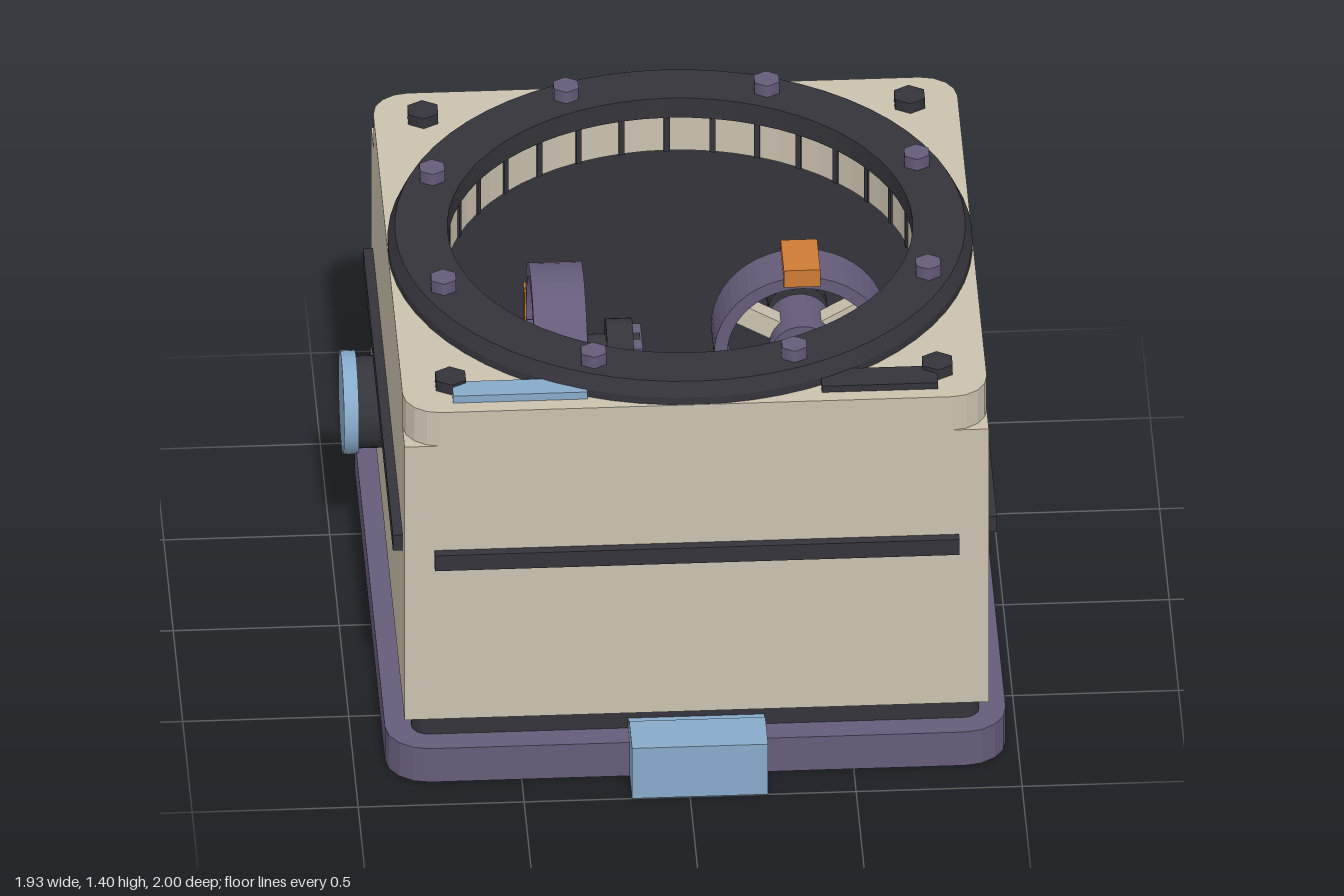
import * as THREE from 'three';

const mat = (name, color) => Object.assign(new THREE.MeshStandardMaterial({ color }), { name });

export function createModel() {
  const beige = mat('beige', 0xcbc1ae);
  const dark = mat('charcoal', 0x35343b);
  const purple = mat('purple', 0x665c7a);
  const blue = mat('blue', 0x88abca);
  const orange = mat('orange', 0xce7b35);

  const root = new THREE.Group();
  root.name = 'gyroscopeHousing';
  // everything is laid out around the middle of the housing
  const core = new THREE.Group();
  core.name = 'housing';
  core.position.set(0.03, 0, -0.06);
  root.add(core);

  const add = (parent, name, geo, material, x = 0, y = 0, z = 0) => {
    const m = new THREE.Mesh(geo, material);
    m.name = name;
    m.position.set(x, y, z);
    parent.add(m);
    return m;
  };
  const box = (w, h, d) => new THREE.BoxGeometry(w, h, d);
  const cyl = (r, h, n = 32) => new THREE.CylinderGeometry(r, r, h, n);

  // square outline with optional rounded corners
  const square = (Type, h, r = 0) => {
    const s = new Type();
    [[1, 1], [-1, 1], [-1, -1], [1, -1]].forEach(([sx, sy], i) => {
      const x = sx * (h - r), y = sy * (h - r);
      if (r) s.absarc(x, y, r, i * Math.PI / 2, (i + 1) * Math.PI / 2, false);
      else if (i) s.lineTo(x, y);
      else s.moveTo(x, y);
    });
    s.closePath();
    return s;
  };
  // horizontal plate from y0 to y1
  const slab = (name, material, h, r, y0, y1, hole, segments = 2) => {
    const shape = square(THREE.Shape, h, r);
    if (hole) shape.holes.push(hole);
    const g = new THREE.ExtrudeGeometry(shape, { depth: y1 - y0, bevelEnabled: false, curveSegments: segments });
    g.rotateX(-Math.PI / 2);
    return add(core, name, g, material, 0, y0, 0);
  };

  // base, gasket and walls
  slab('base', purple, 0.935, 0.13, 0, 0.12);
  slab('gasket', dark, 0.855, 0.05, 0.12, 0.2);
  slab('walls', beige, 0.88, 0, 0.19, 1.17, square(THREE.Path, 0.82));
  slab('innerLining', dark, 0.82, 0, 0.2, 1.168, square(THREE.Path, 0.8));
  add(core, 'floor', box(1.62, 0.03, 1.62), dark, 0, 0.215, 0);

  // lid with a round opening, made from an outline of straight corner facets
  const lidShape = new THREE.Shape(square(THREE.Shape, 0.88, 0.11).getPoints(2));
  lidShape.holes.push(new THREE.Path().absarc(0, 0, 0.706, 0, Math.PI * 2, true));
  const lidGeo = new THREE.ExtrudeGeometry(lidShape, { depth: 0.12, bevelEnabled: false, curveSegments: 32 });
  lidGeo.rotateX(-Math.PI / 2);
  add(core, 'lid', lidGeo, beige, 0, 1.17, 0);

  // narrow dark ribs around the opening
  for (let i = 0; i < 32; i++) {
    const a = i / 32 * Math.PI * 2;
    const rib = add(core, 'openingRib', box(0.018, 0.12, 0.008), dark, Math.sin(a) * 0.703, 1.23, Math.cos(a) * 0.703);
    rib.rotation.y = a;
  }

  // clamp ring with bevelled outer edge
  const lathe = (pts, n) => new THREE.LatheGeometry(pts.map(p => new THREE.Vector2(...p)), n).toNonIndexed();
  const ringGeo = lathe([[0.7, 1.29], [0.88, 1.29], [0.88, 1.315], [0.858, 1.36], [0.7, 1.36], [0.7, 1.29]], 64);
  ringGeo.computeVertexNormals();
  add(core, 'clampRing', ringGeo, dark);

  for (let i = 0; i < 8; i++) {
    const a = (i + 0.5) * Math.PI / 4;
    add(core, 'ringBolt', cyl(0.043, 0.04, 6), purple, Math.cos(a) * 0.79, 1.38, Math.sin(a) * 0.79);
  }
  for (const sx of [-1, 1]) for (const sz of [-1, 1])
    add(core, 'lidBolt', cyl(0.052, 0.035, 6), dark, sx * 0.733, 1.3075, sz * 0.733);

  // lid plates
  add(core, 'bluePlate', box(0.405, 0.025, 0.08), blue, -0.528, 1.3025, 0.79);
  add(core, 'darkPlate', box(0.35, 0.022, 0.095), dark, 0.555, 1.301, 0.787);

  // trim strip on each side
  for (let i = 0; i < 4; i++) {
    const a = i * Math.PI / 2;
    const strip = add(core, 'trimStrip', box(1.58, 0.055, 0.04), dark, Math.sin(a) * 0.89, 0.768, Math.cos(a) * 0.89);
    strip.rotation.y = a;
  }

  // front connector
  add(core, 'connector', box(0.41, 0.18, 0.15), blue, 0, 0.09, 0.985);
  add(core, 'connectorNeck', box(0.41, 0.035, 0.06), blue, 0, 0.1375, 0.885);

  // knob on the right side
  add(core, 'knobStem', cyl(0.14, 0.08), dark, -0.915, 0.53, -0.355).rotation.z = Math.PI / 2;
  add(core, 'knobCap', cyl(0.157, 0.045), blue, -0.9775, 0.53, -0.355).rotation.z = Math.PI / 2;

  // flywheel spinning about its own y axis
  const flywheel = (name, x, y, z, axis) => {
    const g = new THREE.Group();
    g.name = name;
    g.position.set(x, y, z);
    core.add(g);
    const rim = lathe([[0.225, -0.08], [0.265, -0.08], [0.265, 0.08], [0.225, 0.08], [0.225, -0.08]], 48);
    rim.computeVertexNormals();
    add(g, 'rim', rim, purple);
    add(g, 'hub', cyl(0.095, 0.18), purple);
    for (let i = 0; i < 3; i++) {
      const a = i * Math.PI * 2 / 3;
      const spoke = add(g, 'spoke', box(0.065, 0.06, 0.15), beige, Math.sin(a) * 0.155, 0, Math.cos(a) * 0.155);
      spoke.rotation.y = a;
    }
    for (const s of [-1, 1]) add(g, 'rimWeight', box(0.11, 0.17, 0.06), orange, 0, 0, s * 0.264);
    if (axis === 'y') {
      add(g, 'axle', cyl(0.045, 0.2), dark);
      add(g, 'pedestal', cyl(0.07, y - 0.31), purple, 0, -(y - 0.23) / 2 - 0.04, 0);
      return;
    }
    add(g, 'axle', cyl(0.045, 0.5), dark);
    for (const s of [-1, 1]) {
      add(g, 'bearing', cyl(0.09, 0.08), dark, 0, s * 0.187, 0);
      // post down to the floor
      const d = s * 0.215, h = y - 0.23 + 0.04;
      const post = axis === 'x' ? box(0.08, h, 0.14) : box(0.14, h, 0.08);
      add(core, 'post', post, purple, x + (axis === 'x' ? d : 0), 0.23 + h / 2, z + (axis === 'z' ? d : 0));
    }
    if (axis === 'x') g.rotation.z = Math.PI / 2;
    else g.rotation.x = Math.PI / 2;
  };
  flywheel('flywheelSideways', -0.355, 0.75, -0.27, 'x');
  flywheel('flywheelForward', 0.38, 0.75, -0.3, 'z');
  flywheel('flywheelFlat', 0, 0.75, 0.345, 'y');

  return root;
}
